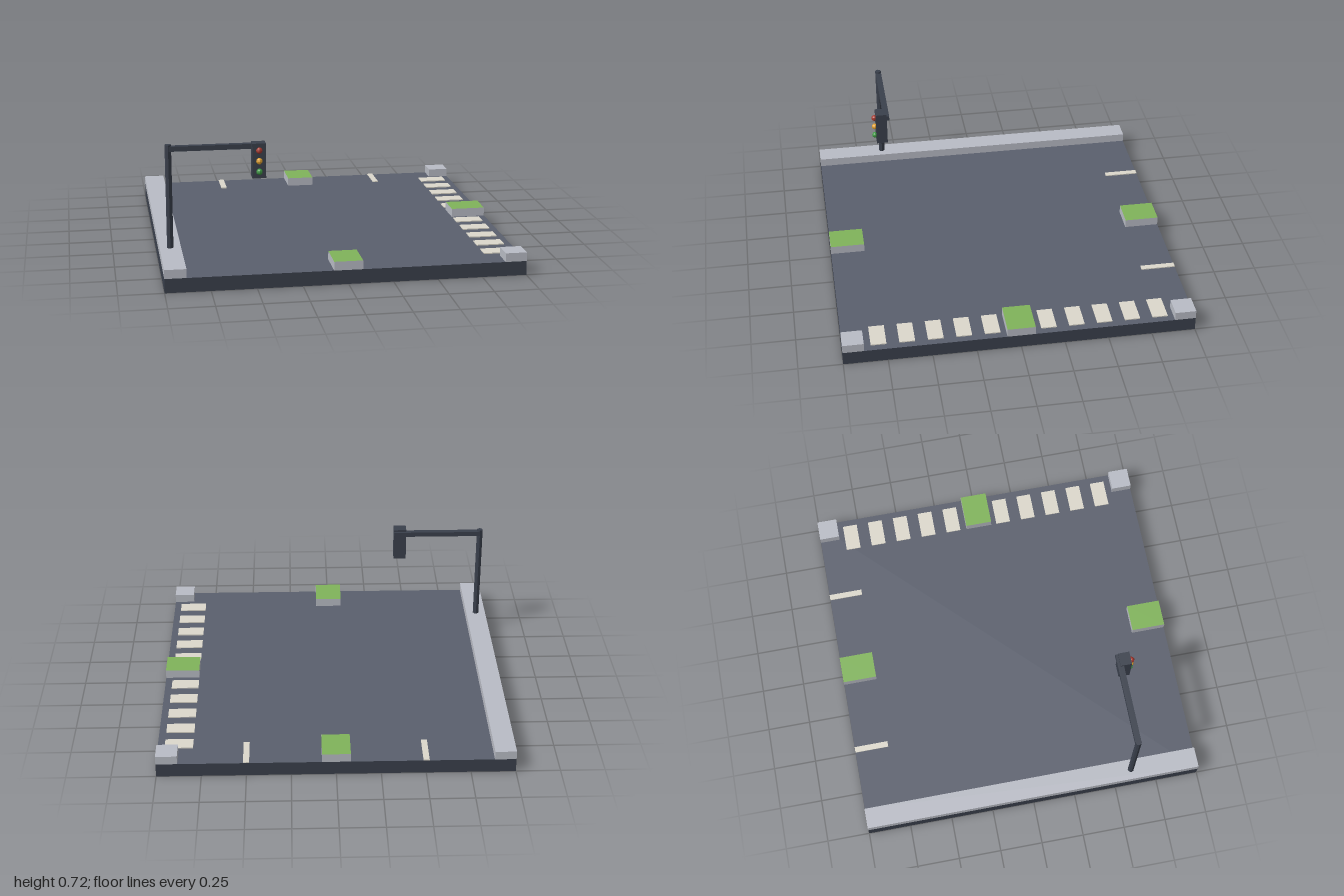
import * as THREE from 'three';

const mat = (color) => new THREE.MeshStandardMaterial({ color, flatShading: true });
const dark = mat(0x3a404c), asphalt = mat(0x5a5f6d), kerb = mat(0xb9bcc5);
const grass = mat(0x80b35a), paint = mat(0xdcd8cc);

export function createModel() {
  const model = new THREE.Group();

  function add(name, geometry, material, x, y, z, parent = model) {
    const mesh = new THREE.Mesh(geometry, material);
    mesh.name = name;
    mesh.position.set(x, y, z);
    parent.add(mesh);
    return mesh;
  }
  // Box given by its ranges along x, y and z
  function block(name, material, x0, x1, y0, y1, z0, z1, parent) {
    return add(name, new THREE.BoxGeometry(x1 - x0, y1 - y0, z1 - z0), material,
      (x0 + x1) / 2, (y0 + y1) / 2, (z0 + z1) / 2, parent);
  }

  // Slab with an asphalt top face (third box face is +y)
  block('roadSlab', [dark, dark, asphalt, dark, dark, dark], -1, 1, 0, 0.08, -1, 1);

  // Pavement along one edge, corner pavements on the other
  block('pavement', kerb, -1, -0.88, 0.08, 0.13, -1, 1);
  for (const s of [-1, 1])
    block('cornerPavement', kerb, 0.88, 1, 0.08, 0.13, s * 0.94 - 0.06, s * 0.94 + 0.06);

  // Planted traffic islands with grass tops
  const island = [kerb, kerb, grass, kerb, kerb, kerb];
  block('frontIsland', island, -0.08, 0.08, 0.08, 0.13, 0.8, 1);
  block('backIsland', island, -0.08, 0.08, 0.08, 0.13, -1, -0.8);
  block('sideIsland', island, 0.8, 1, 0.08, 0.13, -0.08, 0.08);

  // Crossing stripes either side of the island
  for (let i = -5; i <= 5; i++) {
    if (i === 0) continue;
    const z = i * 0.16 - 0.003;
    block('crossingStripe', paint, 0.8, 0.96, 0.08, 0.086, z - 0.044, z + 0.044);
  }
  // Lane lines
  for (const x of [-0.5, 0.5])
    block('laneLine', paint, x - 0.017, x + 0.017, 0.08, 0.086, -1, -0.8);

  // Traffic light
  const light = new THREE.Group();
  light.name = 'trafficLight';
  model.add(light);
  add('pole', new THREE.CylinderGeometry(0.018, 0.018, 0.595, 8), dark, -0.94, 0.4225, 0.598, light);
  block('arm', dark, -0.94, -0.405, 0.683, 0.711, 0.58, 0.615, light);
  block('signalBox', dark, -0.481, -0.405, 0.525, 0.722, 0.595, 0.661, light);
  const lamp = new THREE.SphereGeometry(0.018, 8, 6);
  [['redLamp', 0xa83a30], ['amberLamp', 0xe0a030], ['greenLamp', 0x3f9a45]].forEach(([name, color], i) =>
    add(name, lamp, mat(color), -0.443, 0.684 - i * 0.06, 0.668, light));

  return model;
}
